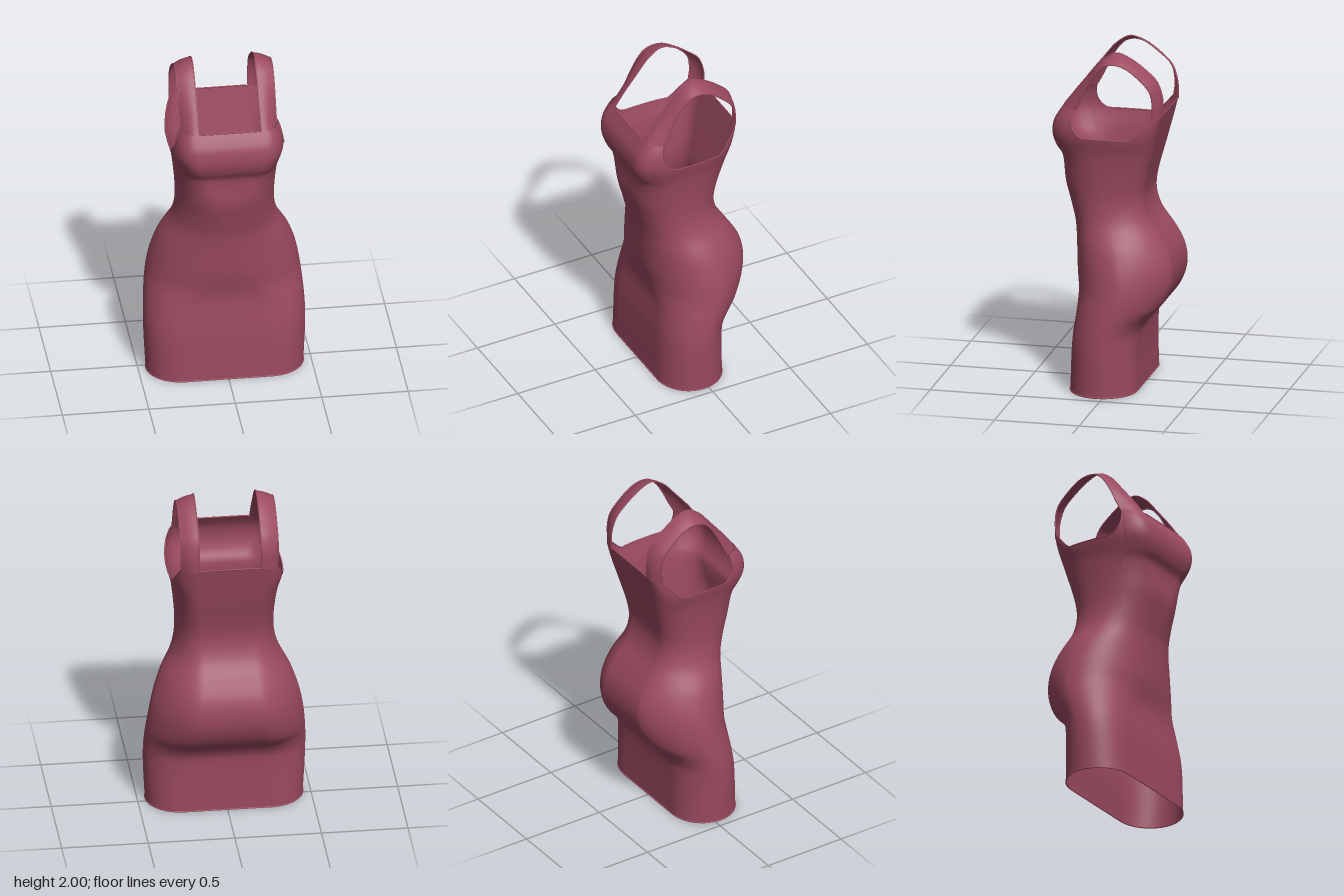
import * as THREE from 'three';

const fabric = new THREE.MeshStandardMaterial({ color: 0x9b4a60, side: THREE.DoubleSide });
fabric.name = 'rose fabric';

const COLS = 208, ROWS = 110;

// Smooth profile through [y, value] pairs
function profile(pts) {
  const slope = (i) => {
    const a = pts[Math.max(i - 1, 0)], b = pts[Math.min(i + 1, pts.length - 1)];
    return (b[1] - a[1]) / (b[0] - a[0]);
  };
  return (y) => {
    let i = 0;
    while (i < pts.length - 2 && y > pts[i + 1][0]) i++;
    const [y0, v0] = pts[i], [y1, v1] = pts[i + 1], h = y1 - y0;
    const t = THREE.MathUtils.clamp((y - y0) / h, 0, 1), t2 = t * t, t3 = t2 * t;
    return v0 * (2 * t3 - 3 * t2 + 1) + v1 * (3 * t2 - 2 * t3)
      + slope(i) * h * (t3 - 2 * t2 + t) + slope(i + 1) * h * (t3 - t2);
  };
}

const halfWidth = profile([[0, 0.455], [0.3, 0.468], [0.5, 0.459], [0.7, 0.43], [0.85, 0.382], [0.98, 0.312],
  [1.08, 0.287], [1.2, 0.285], [1.4, 0.305], [1.52, 0.332], [1.6, 0.324], [1.64, 0.31], [1.68, 0.29]]);
const seam = profile([[0, 0.035], [0.3, 0.02], [0.45, -0.02], [0.58, -0.065], [0.7, -0.075], [0.85, -0.045],
  [1, 0.01], [1.12, 0.03], [1.68, 0.03]]);

// Depth, half width of the flat middle, and roundness of the sides, for each panel
const frontPanel = {
  depth: profile([[0, 0.228], [0.3, 0.218], [0.52, 0.197], [0.7, 0.222], [0.95, 0.242], [1.08, 0.272], [1.2, 0.298],
    [1.37, 0.302], [1.43, 0.334], [1.5, 0.352], [1.58, 0.342], [1.63, 0.315], [1.68, 0.28]]),
  flat: profile([[0, 0.25], [0.35, 0.22], [0.5, 0.18], [0.62, 0.08], [0.78, 0.03], [1, 0.025], [1.2, 0.06],
    [1.36, 0.13], [1.5, 0.17], [1.6, 0.18], [1.68, 0.18]]),
  power: profile([[0, 2], [0.6, 2.1], [1.3, 2.2], [1.5, 2.5], [1.6, 2.7], [1.68, 3.2]]),
};
const backPanel = {
  depth: profile([[0, -0.162], [0.34, -0.167], [0.42, -0.205], [0.5, -0.285], [0.6, -0.338], [0.7, -0.354],
    [0.8, -0.335], [0.9, -0.28], [1, -0.212], [1.1, -0.18], [1.2, -0.185], [1.4, -0.235], [1.68, -0.303]]),
  flat: profile([[0, 0.25], [0.35, 0.23], [0.55, 0.19], [0.75, 0.17], [1, 0.14], [1.3, 0.15], [1.5, 0.17],
    [1.6, 0.18], [1.68, 0.18]]),
  power: profile([[0, 2], [0.35, 1.85], [0.6, 1.55], [0.8, 1.6], [1.05, 2], [1.3, 2.3], [1.68, 3.2]]),
};

// Point on the body at an angle and height: flat panels in front and back, rounded sides
function bodyPoint(a, y) {
  const c = Math.cos(a), s = Math.sin(a);
  const panel = s >= 0 ? frontPanel : backPanel;
  const turn = Math.atan2(Math.abs(s), Math.abs(c)) / (Math.PI / 2);
  const flat = panel.flat(y);
  let x, v = 1;
  if (turn > 0.75) {
    x = flat * (1 - turn) * 4;
  } else {
    const n = panel.power(y), p = (turn / 0.75) * Math.PI / 2;
    const r = 1 / Math.pow(Math.abs(Math.cos(p)) ** n + Math.sin(p) ** n, 1 / n);
    x = flat + (halfWidth(y) - flat) * r * Math.cos(p);
    v = r * Math.sin(p);
  }
  return new THREE.Vector3(Math.sign(c) * x, y, seam(y) + (panel.depth(y) - seam(y)) * v);
}

// Height of the upper edge: neckline in front and back, dipping at the armholes
function topHeight(a) {
  const z = bodyPoint(a, 1.6).z;
  const rise = (t) => 1 - Math.sqrt(1 - THREE.MathUtils.clamp(t, 0, 1) ** 2);
  if (z > 0) return 1.51 + 0.16 * rise((z - 0.125) / 0.1);
  return 1.51 + 0.13 * THREE.MathUtils.clamp((-z - 0.145) / 0.1, 0, 1) ** 1.5;
}

// Grid surface from rows of points
function surface(rows, closed) {
  const w = rows[0].length, pos = [], idx = [];
  rows.forEach((row) => row.forEach((p) => pos.push(p.x, p.y, p.z)));
  for (let i = 0; i < rows.length - 1; i++) {
    for (let j = 0; j < (closed ? w : w - 1); j++) {
      const k = (j + 1) % w, a = i * w + j, b = i * w + k;
      idx.push(a, a + w, b, b, a + w, b + w);
    }
  }
  const g = new THREE.BufferGeometry();
  g.setAttribute('position', new THREE.Float32BufferAttribute(pos, 3));
  g.setIndex(idx);
  g.computeVertexNormals();
  return g;
}

// Strap edges as [z, y] from front to back
const innerEdge = [[0.285, 1.665], [0.225, 1.75], [0.145, 1.85], [0.06, 1.95], [-0.02, 1.995], [-0.1, 1.97],
  [-0.2, 1.9], [-0.26, 1.84], [-0.294, 1.74], [-0.294, 1.635]];
const outerEdge = [[0.2, 1.665], [0.165, 1.73], [0.122, 1.82], [0.08, 1.89], [0.035, 1.935], [-0.02, 1.95],
  [-0.09, 1.935], [-0.18, 1.87], [-0.24, 1.8], [-0.257, 1.71], [-0.25, 1.635]];
const edgePoints = (pts, x) =>
  new THREE.CatmullRomCurve3(pts.map(([z, y]) => new THREE.Vector3(x, y, z))).getSpacedPoints(50);

function strapGeometry(side) {
  const inner = edgePoints(innerEdge, 0.18 * side), outer = edgePoints(outerEdge, 0.28 * side);
  const rows = [];
  for (let k = 0; k <= 8; k++) {
    const u = side > 0 ? k / 8 : 1 - k / 8;
    rows.push(inner.map((p, i) => {
      const q = p.clone().lerp(outer[i], u);
      // Slight crown, fuller where the strap meets the body
      const out = new THREE.Vector3(0, q.y - 1.7, q.z).normalize();
      const crown = 0.007 + (i < 25 ? 0.029 : 0.011) * Math.abs(i / 25 - 1) ** 4;
      return q.addScaledVector(out, crown * Math.sin(Math.PI * u));
    }));
  }
  return surface(rows, false);
}

export function createModel() {
  const model = new THREE.Group();
  model.name = 'dress';
  const add = (name, geometry) => {
    const mesh = new THREE.Mesh(geometry, fabric);
    mesh.name = name;
    model.add(mesh);
  };
  const piping = (name, pts, radius) =>
    add(name, new THREE.TubeGeometry(new THREE.CatmullRomCurve3(pts, true), 260, radius, 6, true));

  // Fitted body, open at the hem and the top
  const angles = Array.from({ length: COLS }, (_, j) => (j / COLS) * Math.PI * 2);
  const tops = angles.map(topHeight);
  const rows = [];
  for (let i = 0; i <= ROWS; i++) {
    rows.push(angles.map((a, j) => bodyPoint(a, (tops[j] * i) / ROWS)));
  }
  add('body', surface(rows, true));
  piping('hem', angles.map((a) => bodyPoint(a, 0.005)), 0.004);

  // Shoulder straps
  add('leftStrap', strapGeometry(1));
  add('rightStrap', strapGeometry(-1));

  // Piping around the neckline and the armholes
  const rim = rows[ROWS];
  const middle = rim.filter((p) => Math.abs(p.x) < 0.172);
  piping('necklinePiping', [
    ...middle.filter((p) => p.z > 0), ...edgePoints(innerEdge, -0.18),
    ...middle.filter((p) => p.z < 0), ...edgePoints(innerEdge, 0.18).reverse(),
  ], 0.004);
  const armhole = [...rim.slice(COLS * 0.75), ...rim.slice(0, COLS / 4)].filter((p) => p.x > 0.283);
  const loop = [...armhole, ...edgePoints(outerEdge, 0.28)];
  piping('leftArmholePiping', loop, 0.004);
  piping('rightArmholePiping', loop.map((p) => new THREE.Vector3(-p.x, p.y, p.z)), 0.004);

  return model;
}
